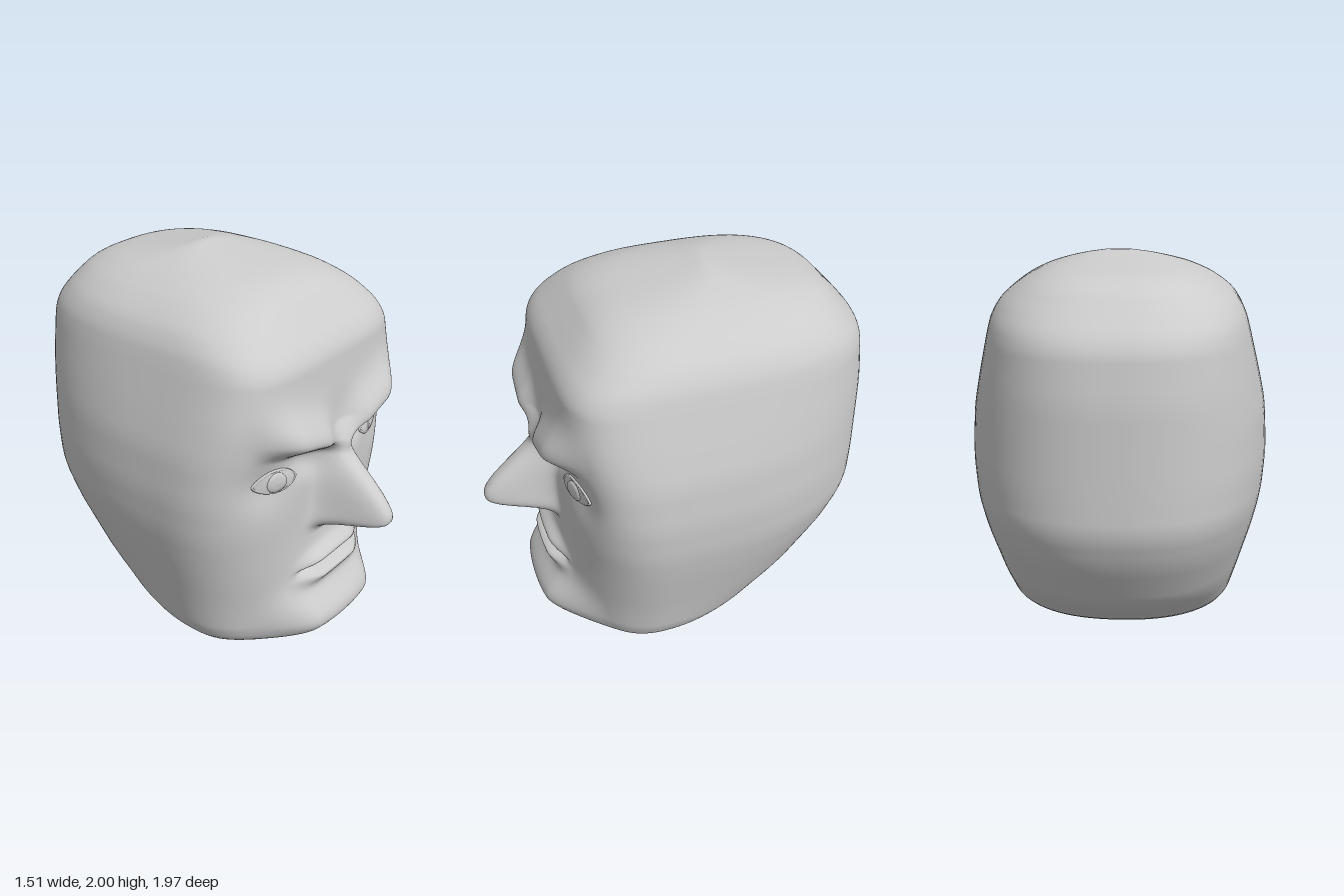
import * as THREE from 'three';

// Skull sections: y, front z, back z, half width, z of widest point, front and back roundness
const SKULL = [
  [0.01, 0.32, 0.02, 0.34, 0.2, 2.3, 2.2],
  [0.022, 0.44, -0.08, 0.475, 0.2, 2.3, 2.2],
  [0.08, 0.58, -0.28, 0.545, 0.19, 2.25, 2.25],
  [0.14, 0.62, -0.45, 0.6, 0.19, 2.2, 2.3],
  [0.36, 0.63, -0.74, 0.647, 0.17, 2.25, 2.35],
  [0.63, 0.63, -0.915, 0.712, 0.15, 2.5, 2.45],
  [0.8, 0.63, -0.985, 0.745, 0.14, 2.75, 2.5],
  [1.0, 0.63, -0.987, 0.759, 0.13, 3.05, 2.5],
  [1.24, 0.64, -0.987, 0.744, 0.11, 3.4, 2.5],
  [1.4, 0.65, -0.987, 0.707, 0.06, 4.0, 2.55],
  [1.66, 0.63, -0.957, 0.64, -0.02, 4.6, 2.7],
  [1.74, 0.55, -0.887, 0.613, -0.06, 4.2, 2.75],
  [1.83, 0.457, -0.8, 0.535, -0.1, 3.7, 2.75],
  [1.91, 0.372, -0.725, 0.4, -0.16, 2.8, 2.7],
  [1.955, 0.097, -0.455, 0.28, -0.18, 2.6, 2.6],
  [1.985, -0.088, -0.272, 0.165, -0.18, 2.5, 2.5],
  [2.0, -0.16, -0.2, 0.06, -0.18, 2.5, 2.5],
];

// Nose: y, height above the face, half width
const NOSE = [
  [0.68, 0, 0.13], [0.715, 0.04, 0.13], [0.74, 0.14, 0.128], [0.765, 0.27, 0.124],
  [0.785, 0.345, 0.12], [0.82, 0.36, 0.115], [0.86, 0.35, 0.11], [0.92, 0.305, 0.106],
  [1.0, 0.22, 0.102], [1.1, 0.105, 0.096], [1.17, 0.05, 0.1], [1.27, 0, 0.11],
];

function linear(table, y) {
  const last = table.length - 1;
  if (y <= table[0][0]) return table[0].slice(1);
  if (y >= table[last][0]) return table[last].slice(1);
  let i = 0;
  while (y > table[i + 1][0]) i++;
  const p = table[i], q = table[i + 1], t = (y - p[0]) / (q[0] - p[0]);
  return p.slice(1).map((v, c) => v + (q[c + 1] - v) * t);
}

// Table lookup averaged over a small window, which rounds the corners of the profile
function lookup(table, y, radius) {
  const low = table[0][0], high = table[table.length - 1][0];
  const r = Math.max(0, Math.min(radius, (y - low) * 0.4, (high - y) * 0.4));
  const samples = [-1, -0.75, -0.5, -0.25, 0, 0.25, 0.5, 0.75, 1].map(k => linear(table, y + k * r));
  return samples[0].map((_, c) => samples.reduce((sum, s) => sum + s[c], 0) / samples.length);
}
const skull = y => lookup(SKULL, y, 0.06);

const bell = (d, w) => Math.exp(-(d / w) * (d / w));
const step = THREE.MathUtils.smoothstep;

// Forward relief of the facial features at a point of the face
function relief(x, y) {
  const ax = Math.abs(x);
  let z = 0;
  // nose
  const [height, width] = lookup(NOSE, y, 0.02);
  z += height * Math.exp(-Math.pow(ax / width, 3));
  // slanted scowling brows above sunken sockets
  const d = y - (1.135 + 0.28 * ax);
  const browSpan = (0.35 + 0.65 * step(ax, 0.02, 0.19)) * (1 - step(ax, 0.34, 0.6));
  z += 0.1 * browSpan * (d > 0.045 ? bell(d - 0.045, 0.13) : step(d, -0.03 - 0.08 * ax, 0.045));
  z -= 0.04 * bell(ax - 0.23, 0.12) * bell(d + 0.07, 0.08);
  z -= 0.035 * bell(ax - 0.47, 0.14) * bell(y - 1.09, 0.13);
  // lips, parted by a drooping mouth line
  const bend = Math.pow(ax / 0.27, 2);
  const lipSpan = 1 - step(ax, 0.12, 0.32);
  const upper = y - (0.545 - 0.04 * bend), lower = y - (0.46 - 0.02 * bend);
  z += 0.05 * lipSpan * bell(upper, upper > 0 ? 0.045 : 0.03);
  z += 0.06 * lipSpan * bell(lower, lower > 0 ? 0.022 : 0.05);
  z -= 0.03 * (1 - step(ax, 0.2, 0.29)) * bell(y - (0.498 - 0.012 * bend), 0.011);
  z += 0.02 * bell(ax, 0.3) * bell(y - 0.52, 0.14);
  // chin
  z += 0.15 * (1 - step(ax, 0.2, 0.5)) * bell(y - 0.2, y > 0.2 ? 0.165 : 0.14);
  return z;
}

// Front surface of the head above a point (x, y)
function faceZ(x, y) {
  const [front, , half, mid, n] = skull(y);
  const s = Math.min(Math.abs(x) / half, 1);
  return mid + (front - mid) * Math.pow(1 - Math.pow(s, n), 1 / n) + relief(x, y);
}

function gridGeometry(rows, cols, wrap, point) {
  const positions = [], index = [];
  for (let i = 0; i < rows; i++) for (let j = 0; j < cols; j++) positions.push(...point(i, j));
  for (let i = 0; i < rows - 1; i++) {
    for (let j = 0; j < (wrap ? cols : cols - 1); j++) {
      const k = (j + 1) % cols, a = i * cols + j, b = i * cols + k;
      index.push(a, b, b + cols, a, b + cols, a + cols);
    }
  }
  const geometry = new THREE.BufferGeometry();
  geometry.setAttribute('position', new THREE.Float32BufferAttribute(positions, 3));
  geometry.setIndex(index);
  geometry.computeVertexNormals();
  return geometry;
}

function headGeometry() {
  const FRONT = 160, BACK = 56, ys = [];
  for (let i = 0; i < 14; i++) ys.push(0.01 + 0.07 * Math.pow(i / 14, 1.5));
  for (let i = 0; i < 180; i++) ys.push(0.08 + 1.82 * i / 180);
  for (let i = 0; i <= 20; i++) ys.push(1.9 + 0.1 * i / 20);
  return gridGeometry(ys.length + 2, FRONT + BACK, true, (i, j) => {
    if (i === 0) return [0, 0.005, 0.2]; // centre of the underside
    if (i > ys.length) return [0, 2, -0.18]; // top of the crown
    const y = ys[i - 1], isFront = j <= FRONT;
    const [front, back, half, mid, nf, nb] = skull(y);
    // columns crowd towards the sides, where the section turns quickly
    const angle = isFront ? -Math.PI / 2 + Math.PI * j / FRONT : Math.PI / 2 + Math.PI * (j - FRONT) / BACK;
    const s = Math.sin(angle), n = isFront ? nf : nb;
    const depth = Math.pow(Math.max(1 - Math.pow(Math.abs(s), n), 0), 1 / n);
    const x = half * s;
    return [x, y, mid + ((isFront ? front : back) - mid) * depth + (isFront ? relief(x, y) : 0)];
  });
}

// One eye: almond eyeball, rim of the lids and a raised iris; side is +1 or -1
function createEye(side, material) {
  const eye = new THREE.Group();
  eye.name = side > 0 ? 'leftEye' : 'rightEye';
  const add = (name, geometry) => {
    const mesh = new THREE.Mesh(geometry, material);
    mesh.name = name;
    eye.add(mesh);
  };
  const cx = side * 0.412;
  const lidY = (u, v) => 1.085 + 0.01 * u * side + v * (v > 0 ? 0.06 : 0.056) * Math.pow(Math.max(1 - u * u, 0), 0.85);
  const ball = (x, y) => {
    const u = (x - cx) / 0.13, v = (y - 1.085) / 0.06;
    return faceZ(x, y) + 0.006 + 0.014 * Math.max(1 - u * u, 0) * Math.max(1 - v * v, 0);
  };
  add('eyeball', gridGeometry(13, 25, false, (i, j) => {
    const u = j / 12 - 1, x = cx + 0.13 * u, y = lidY(u, i / 6 - 1);
    return [x, y, ball(x, y)];
  }));

  const loop = [];
  for (let k = 0; k < 40; k++) {
    const a = k / 40 * Math.PI * 2, u = Math.cos(a);
    const x = cx + 0.128 * u, y = lidY(u, Math.sign(Math.sin(a)));
    loop.push(new THREE.Vector3(x, y, faceZ(x, y) + 0.005));
  }
  add('eyelids', new THREE.TubeGeometry(new THREE.CatmullRomCurve3(loop, true), 80, 0.007, 6, true));

  // iris disc following the eyeball, with a small outer step
  add('iris', gridGeometry(4, 32, true, (i, j) => {
    const a = j / 32 * Math.PI * 2, r = [0.052, 0.05, 0.03, 0][i];
    const x = cx + r * Math.cos(a), y = 1.083 + r * Math.sin(a);
    return [x, y, ball(x, y) + (i ? 0.007 : -0.002)];
  }));
  return eye;
}

export function createModel() {
  const stone = new THREE.MeshStandardMaterial({ color: 0xcccccc });
  stone.name = 'plain grey';
  const model = new THREE.Group();
  model.name = 'scowlingHead';
  const head = new THREE.Mesh(headGeometry(), stone);
  head.name = 'head';
  model.add(head, createEye(1, stone), createEye(-1, stone));
  return model;
}
